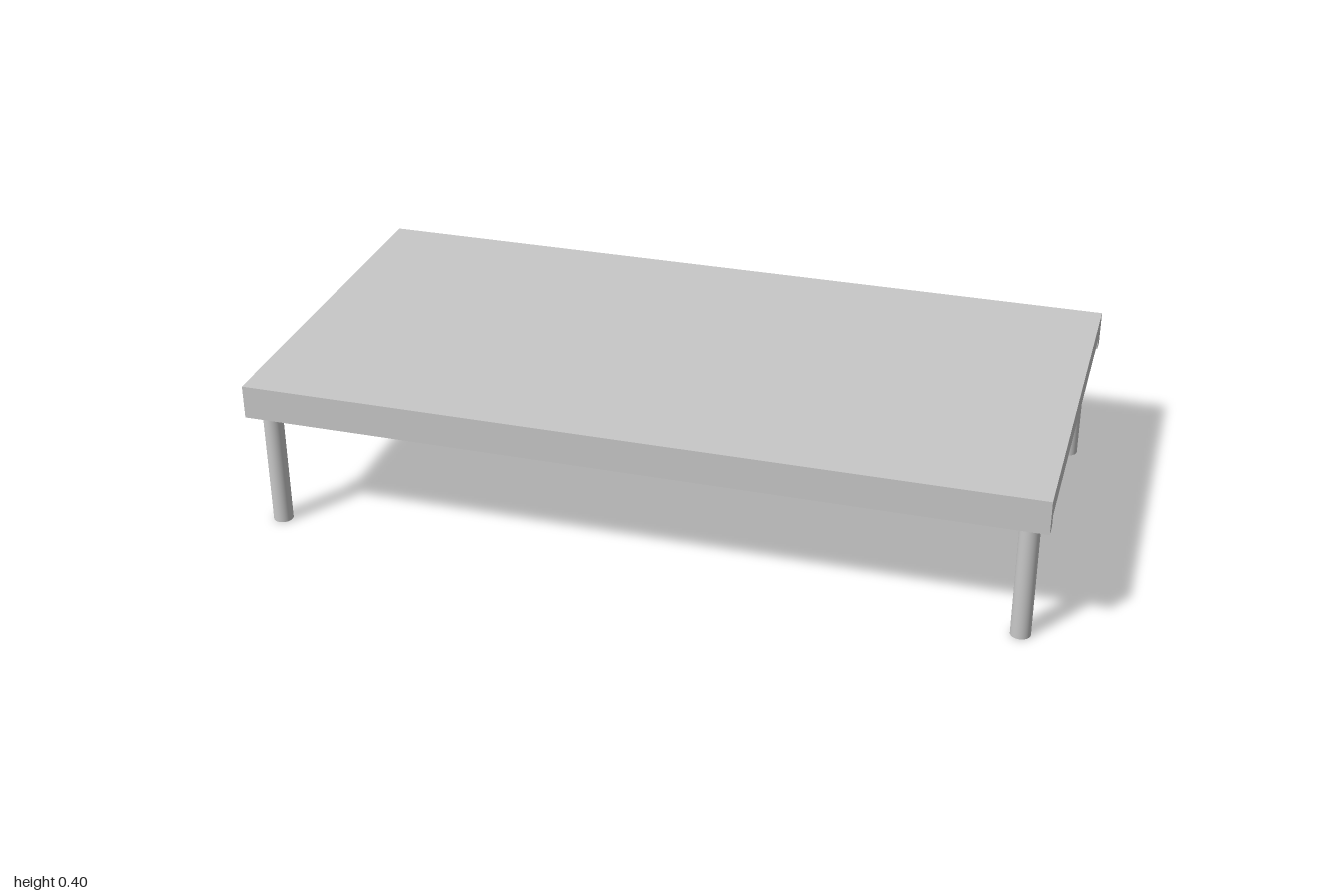
import * as THREE from 'three';

export function createModel() {
  const table = new THREE.Group();
  table.name = 'lowTable';
  const grey = new THREE.MeshStandardMaterial({ color: 0xc8c8c8 });
  grey.name = 'light grey';

  const height = 0.4, underside = 0.342, lipBottom = 0.313;
  const halfDepth = 0.5, lip = 0.04, length = 2;

  // Top with a lip hanging along the front and back edges: one profile swept along x
  const profile = new THREE.Shape([
    [-halfDepth, lipBottom], [-halfDepth + lip, lipBottom],
    [-halfDepth + lip, underside], [halfDepth - lip, underside],
    [halfDepth - lip, lipBottom], [halfDepth, lipBottom],
    [halfDepth, height], [-halfDepth, height],
  ].map(([z, y]) => new THREE.Vector2(z, y)));
  const topGeometry = new THREE.ExtrudeGeometry(profile, { depth: length, bevelEnabled: false });
  topGeometry.translate(0, 0, -length / 2).rotateY(Math.PI / 2);
  const top = new THREE.Mesh(topGeometry, grey);
  top.name = 'tableTop';
  table.add(top);

  // Four round legs reaching up to the underside
  const legGeometry = new THREE.CylinderGeometry(0.025, 0.025, underside, 32);
  for (const [xName, x] of [['Left', 0.95], ['Right', -0.95]]) {
    for (const [zName, z] of [['front', 0.45], ['back', -0.45]]) {
      const leg = new THREE.Mesh(legGeometry, grey);
      leg.name = `${zName}${xName}Leg`;
      leg.position.set(x, underside / 2, z);
      table.add(leg);
    }
  }
  return table;
}
